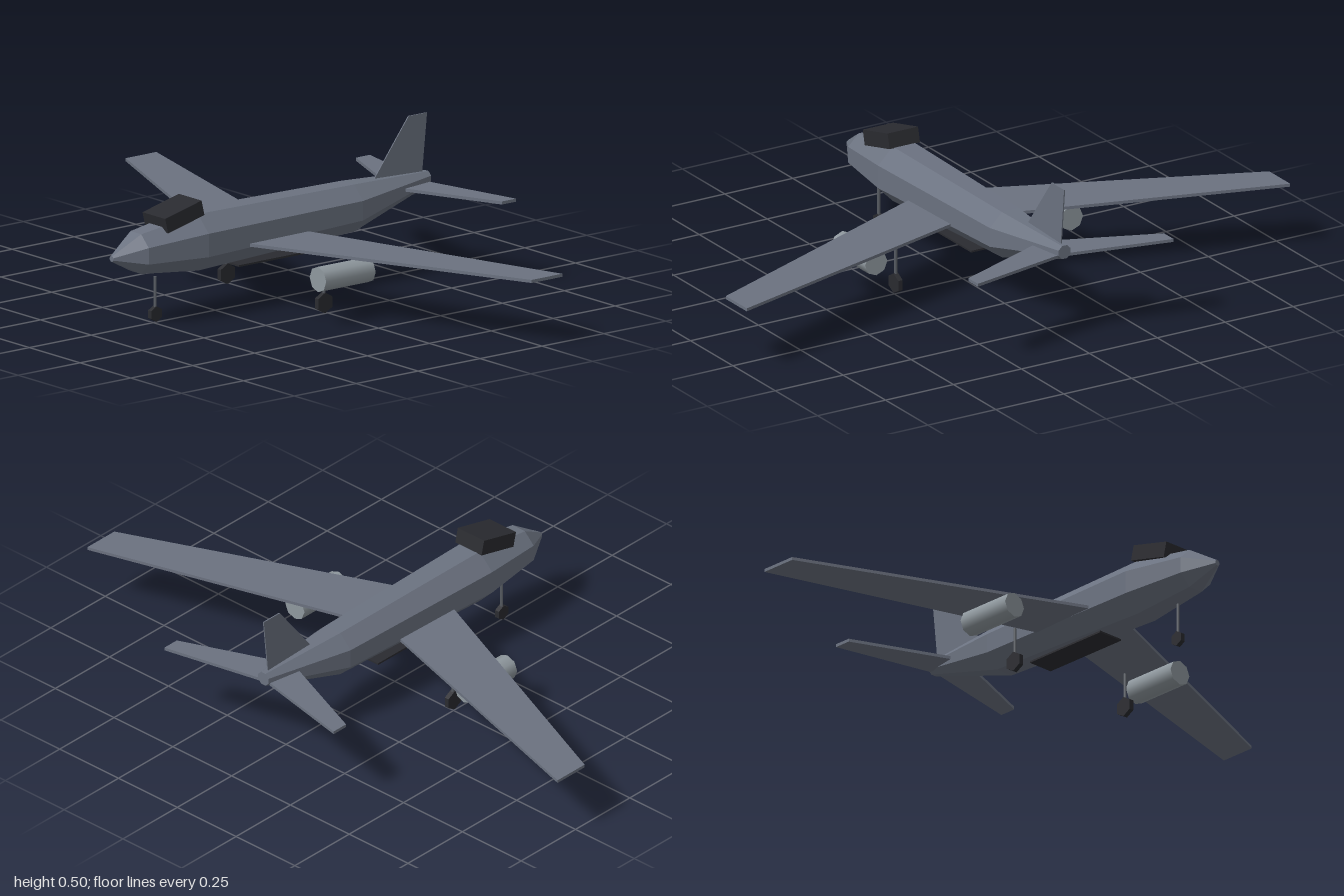
import * as THREE from 'three';

const paint = (name, color) => {
  const m = new THREE.MeshStandardMaterial({ color });
  m.name = name;
  return m;
};

// Octagonal hull with flat top, bottom and sides; sections are [z, centreY, half height]
function hullGeometry(sections) {
  const n = 8, pos = [], idx = [];
  for (const [z, y, half] of sections) {
    const r = half / Math.cos(Math.PI / n);
    for (let j = 0; j < n; j++) {
      const a = ((j + 0.5) / n) * Math.PI * 2;
      pos.push(r * Math.cos(a), y + r * Math.sin(a), z);
    }
  }
  const last = (sections.length - 1) * n;
  for (let i = 0; i < last; i += n) {
    for (let j = 0; j < n; j++) {
      const k = (j + 1) % n;
      idx.push(i + j, i + n + j, i + k, i + k, i + n + j, i + n + k);
    }
  }
  for (let j = 1; j < n - 1; j++) {
    idx.push(0, j, j + 1, last, last + j + 1, last + j);
  }
  const g = new THREE.BufferGeometry();
  g.setAttribute('position', new THREE.Float32BufferAttribute(pos, 3));
  g.setIndex(idx);
  const flat = g.toNonIndexed();
  flat.computeVertexNormals();
  return flat;
}

// Flat plate from outline points, centred on its thickness
function plate(points, thickness) {
  const shape = new THREE.Shape(points.map(([a, b]) => new THREE.Vector2(a, b)));
  const g = new THREE.ExtrudeGeometry(shape, { depth: thickness, bevelEnabled: false });
  return g.translate(0, 0, -thickness / 2);
}

// Horizontal plate from [x, z] points
const surface = (points, thickness, side) =>
  plate(points.map(([x, z]) => [x * side, -z]), thickness).rotateX(-Math.PI / 2);

export function createModel() {
  const model = new THREE.Group();
  model.name = 'airplane';

  const body = paint('slate grey', 0x6b7280);
  const metal = paint('light grey', 0x8f989e);
  const strutGrey = paint('strut grey', 0x5a5f66);
  const dark = paint('near black', 0x2a2b30);

  const add = (name, geometry, material, x = 0, y = 0, z = 0) => {
    const mesh = new THREE.Mesh(geometry, material);
    mesh.name = name;
    mesh.position.set(x, y, z);
    model.add(mesh);
    return mesh;
  };

  // Fuselage
  add('fuselage', hullGeometry([
    [0.668, 0.232, 0.009],
    [0.57, 0.237, 0.064],
    [0.35, 0.242, 0.091],
    [-0.285, 0.249, 0.076],
    [-0.604, 0.291, 0.022],
  ]), body);

  // Tilted cockpit block
  const cockpit = add('cockpit', new THREE.BoxGeometry(0.112, 0.05, 0.151), dark, 0, 0.338, 0.418);
  cockpit.rotation.x = 0.24;

  // Tail fin, outline in [z, y]
  add('tailFin', plate([[-0.39, 0.29], [-0.39, 0.318], [-0.53, 0.5], [-0.604, 0.5], [-0.582, 0.29]], 0.004)
    .rotateY(-Math.PI / 2), body);

  // Belly plate
  add('bellyPlate', new THREE.BoxGeometry(0.09, 0.006, 0.315), dark, 0, 0.141, 0.032);

  // Landing gear: thin strut over a six-sided wheel
  const addGear = (name, x, z, radius, axleY) => {
    const top = 0.148;
    add(name + 'Strut', new THREE.CylinderGeometry(0.005, 0.005, top - axleY, 6), strutGrey, x, (top + axleY) / 2, z);
    add(name + 'Wheel', new THREE.CylinderGeometry(radius, radius, 0.016, 6).toNonIndexed()
      .rotateZ(Math.PI / 2).rotateX(Math.PI / 2), dark, x, axleY, z).geometry.computeVertexNormals();
  };
  addGear('nose', 0, 0.492, 0.025, 0.028);

  for (const [label, s] of [['left', 1], ['right', -1]]) {
    // Swept main wing
    add(label + 'Wing', surface([[0.07, 0.187], [1, -0.208], [1, -0.332], [0.07, -0.058]], 0.01, s),
      body, 0, 0.215, 0);
    // Tailplane
    add(label + 'Tailplane', surface([[0.02, -0.475], [0.36, -0.613], [0.36, -0.67], [0.02, -0.597]], 0.01, s),
      body, 0, 0.277, 0);
    // Engine
    add(label + 'Engine', new THREE.CylinderGeometry(0.041, 0.041, 0.2, 8).rotateX(Math.PI / 2),
      metal, s * 0.36, 0.15, 0.03);
    // Main gear
    addGear(label + 'Main', s * 0.24, 0.008, 0.033, 0.033);
  }

  return model;
}
